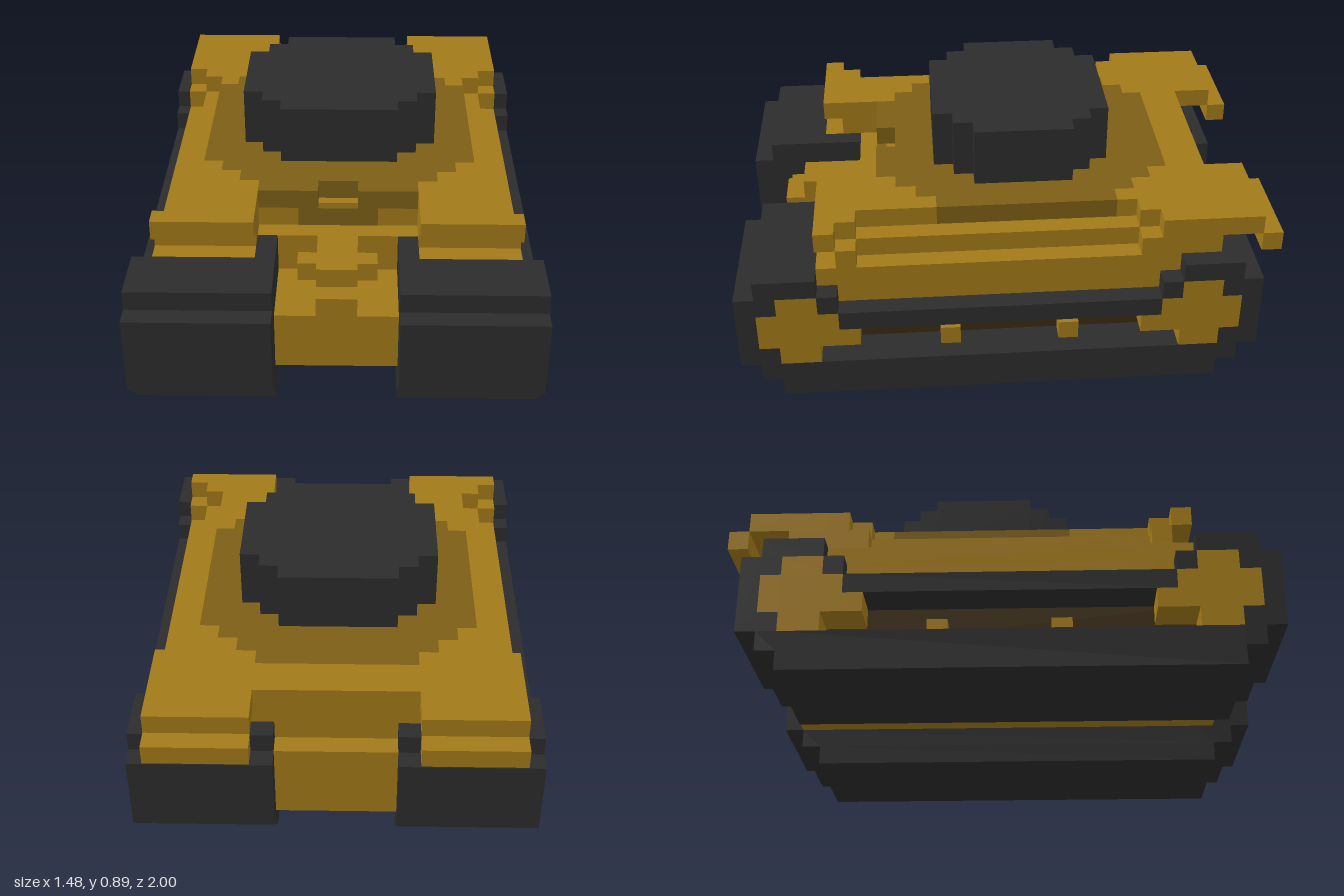
import * as THREE from 'three';

const U = 2 / 27; // one block
const mat = (color) => new THREE.MeshStandardMaterial({ color, flatShading: true });

export function createModel() {
  const root = new THREE.Group();
  const gold = mat(0xa27a18), brown = mat(0x7c5e16), dark = mat(0x2c2c2c), shade = mat(0x3a2a10);

  // Box from block coordinates: x from the centre line, y from the ground, z from the back
  function box(name, m, x0, x1, y0, y1, z0, z1) {
    const mesh = new THREE.Mesh(new THREE.BoxGeometry((x1 - x0) * U, (y1 - y0) * U, (z1 - z0) * U), m);
    mesh.position.set((x0 + x1) / 2 * U, (y0 + y1) / 2 * U, ((z0 + z1) / 2 - 13.5) * U);
    mesh.name = name;
    root.add(mesh);
  }
  const centre = (name, m, w, ...r) => box(name, m, -w, w, ...r);
  function pair(name, m, x0, x1, ...r) {
    box(name + 'Left', m, x0, x1, ...r);
    box(name + 'Right', m, -x1, -x0, ...r);
  }

  // Side profile (z, y) extruded across x on both sides
  const points = (list) => list.map(([z, y]) => new THREE.Vector2((z - 13.5) * U, y * U));
  function profilePair(name, m, outline, hole, x0, x1) {
    const shape = new THREE.Shape(points(outline));
    if (hole) shape.holes.push(new THREE.Path(points(hole)));
    const geo = new THREE.ExtrudeGeometry(shape, { depth: (x1 - x0) * U, bevelEnabled: false });
    geo.rotateY(-Math.PI / 2);
    for (const [side, x] of [['Left', x1], ['Right', -x0]]) {
      const mesh = new THREE.Mesh(geo, m);
      mesh.position.x = x * U;
      mesh.name = name + side;
      root.add(mesh);
    }
  }

  // Tracks: solid inner body, outer layer with an opening for wheels and recess
  const track = [[3, 0], [25, 0], [25, 1], [26, 1], [26, 2], [27, 2], [27, 6], [26, 6], [26, 7], [23, 7],
    [23, 6], [22, 6], [22, 5], [6, 5], [6, 6], [5, 6], [5, 7], [2, 7], [2, 6], [1, 6], [1, 2], [2, 2], [2, 1], [3, 1]];
  const opening = [[3, 2], [25, 2], [25, 3], [26, 3], [26, 5], [25, 5], [25, 6], [23, 6], [23, 5], [22, 5],
    [22, 4], [6, 4], [6, 5], [5, 5], [5, 6], [3, 6], [3, 5], [2, 5], [2, 3], [3, 3]];
  profilePair('trackBody', dark, track, null, 3, 8);
  profilePair('trackOuter', dark, track, opening, 8, 10);
  pair('trackInnerTop', dark, 3, 4, 5, 7, 21, 23);
  pair('trackRecess', shade, 7.9, 8.03, 2, 4, 5, 23);

  // Wheels and their small supports
  for (const [name, z] of [['rearWheel', 4], ['frontWheel', 24]]) {
    const cross = [[-1, 2], [1, 2], [1, 3], [2, 3], [2, 5], [1, 5], [1, 6], [-1, 6], [-1, 5], [-2, 5], [-2, 3], [-1, 3]];
    profilePair(name, gold, cross.map(([a, b]) => [z + a, b]), null, 8, 10);
  }
  for (const z of [6, 21]) pair('wheelArm', gold, 8, 10, 3, 4, z, z + 1);
  for (const z of [10, 16]) pair('trackSupport', gold, 8, 9, 2, 3, z, z + 1);

  // Hull core and stepped nose
  centre('hullLower', gold, 3, 2, 5, 2, 25);
  centre('hullRear', gold, 3, 5, 6, 2, 21);
  centre('hullMiddle', gold, 4, 6, 7, 3, 21);
  centre('hullUpper', gold, 4, 7, 8, 3, 20);
  centre('noseBase', gold, 2, 5, 6, 21, 22);
  centre('noseRidge', gold, 1, 5, 6, 21, 25);
  centre('noseRidgeTop', gold, 1, 6, 7, 21, 24);
  centre('frontPanel', brown, 2, 7, 8, 19.5, 20.02);

  // Stepped hull sides
  pair('sideLower', gold, 3, 9, 5, 6, 6, 21);
  pair('sideLowerFront', gold, 4, 9, 5, 6, 21, 22);
  pair('sideMiddle', gold, 4, 9, 6, 7, 5, 23);
  pair('sideUpperRear', gold, 4, 9, 7, 8, 3, 7);
  pair('sideUpper', gold, 4, 8, 7, 8, 7, 21);
  pair('sideUpperFront', gold, 4, 9, 7, 8, 21, 22);

  // Top deck rows [z0, z1, ring half width, deck half width]
  const deck = [[3, 5, 0, 9], [5, 6, 4, 9], [6, 7, 5, 8], [7, 8, 6, 7], [8, 17, 7, 7],
    [17, 18, 6, 7], [18, 19, 5, 7], [19, 20, 4, 7]];
  for (const [z0, z1, ring, edge] of deck) {
    if (edge > ring) pair('deck', gold, ring, edge, 8, 9, z0, z1);
    if (z0 === 19) pair('turretRing', brown, 1, ring, 8, 9, z0, z1); // notch in the middle
    else if (ring) centre('turretRing', brown, ring, 8, 9, z0, z1);
  }

  // Fenders
  pair('frontFenderInner', gold, 4, 7, 8, 9, 20, 21);
  pair('frontFenderStep', gold, 4, 8, 8, 9, 21, 22);
  pair('frontFender', gold, 4, 9, 8, 9, 22, 23);
  pair('rearFender', gold, 4, 9, 8, 9, 1, 3);
  pair('rearFenderLip', gold, 4, 9, 7, 8, 0, 1);

  // Turret
  const turret = [[8, 9, 3], [9, 10, 4], [10, 15, 5], [15, 16, 4], [16, 17, 3]];
  for (const [z0, z1, w] of turret) centre('turret', dark, w, 9, 12, z0, z1);

  return root;
}
